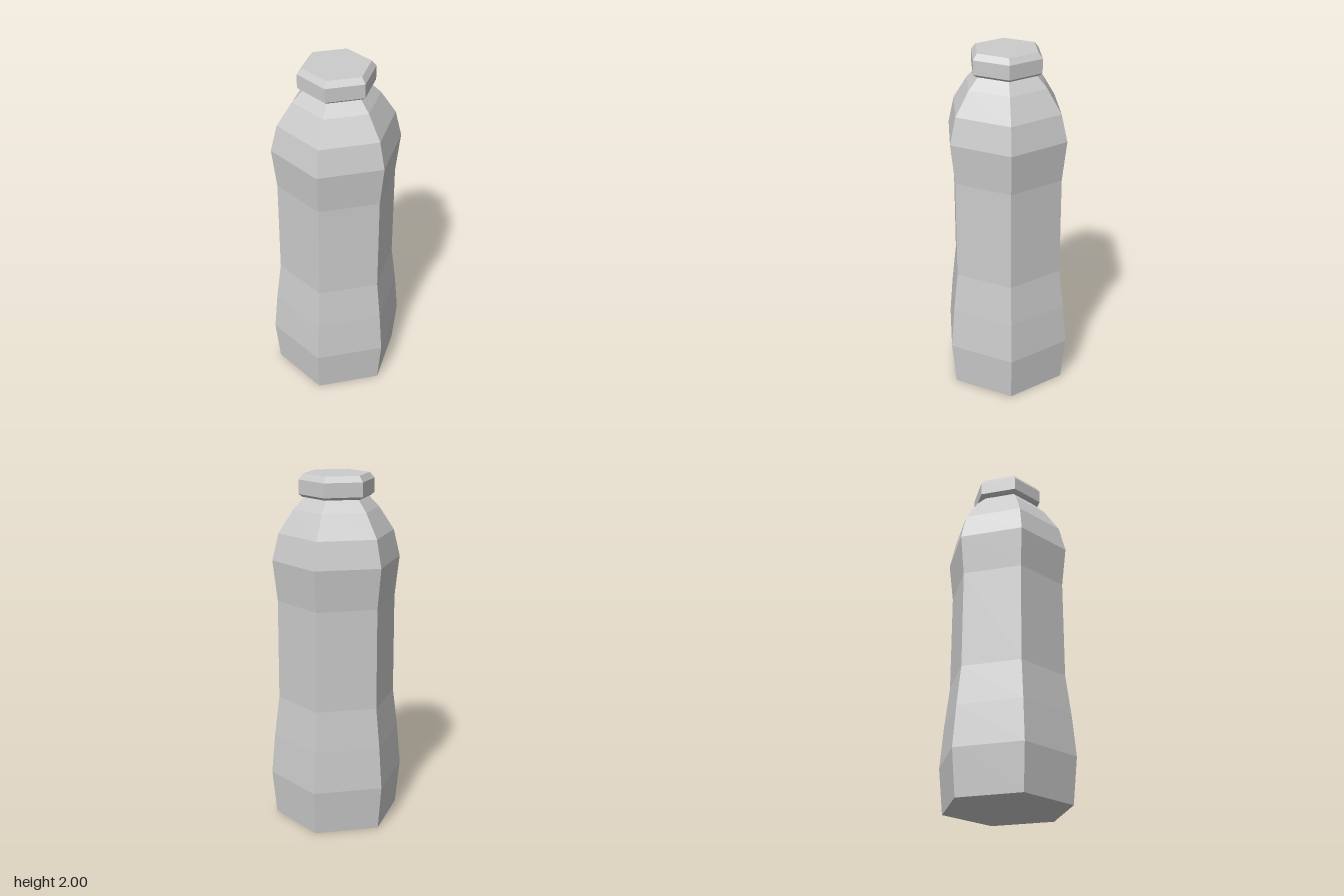
import * as THREE from 'three';

const material = new THREE.MeshStandardMaterial({ color: 0xcccccc, flatShading: true });

// Six-sided turned part from a bottom-to-top profile of [corner radius, height]
function hexLathe(name, profile) {
  const points = profile.map(([r, y]) => new THREE.Vector2(r, y));
  const mesh = new THREE.Mesh(new THREE.LatheGeometry(points, 6), material);
  mesh.name = name;
  return mesh;
}

export function createModel() {
  const bottle = new THREE.Group();
  bottle.name = 'bottle';

  // Body: flared foot, narrow waist, rounded shoulder, neck closed inside the cap
  bottle.add(hexLathe('body', [
    [0, 0], [0.363, 0], [0.388, 0.26], [0.366, 0.5], [0.337, 0.73],
    [0.335, 1.3], [0.361, 1.53], [0.324, 1.68], [0.239, 1.81],
    [0.177, 1.875], [0.177, 1.885], [0, 1.885],
  ]));

  // Cap: bevelled at both rims
  bottle.add(hexLathe('cap', [
    [0, 1.875], [0.19, 1.875], [0.21, 1.89], [0.21, 1.968], [0.184, 2], [0, 2],
  ]));

  return bottle;
}
